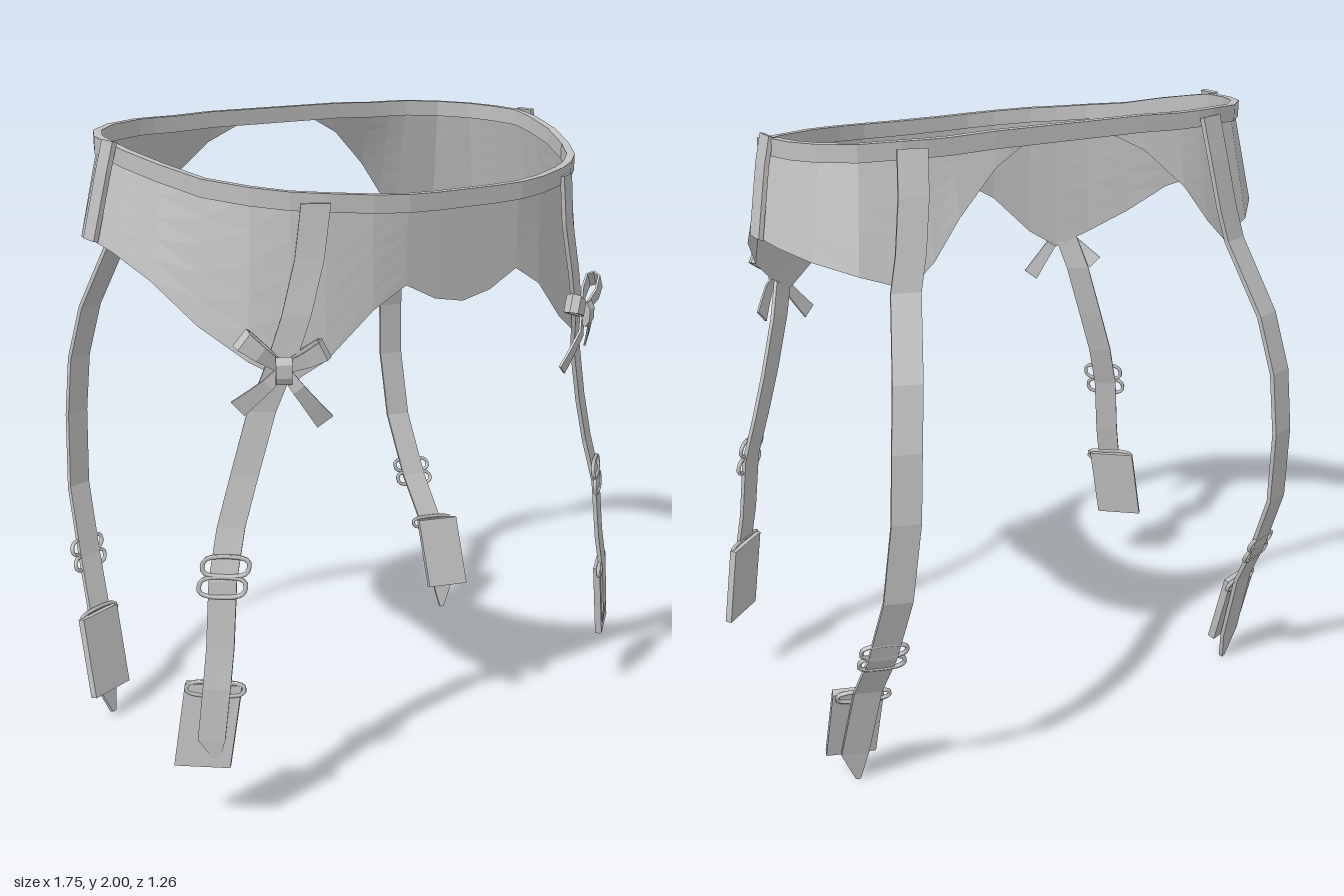
import * as THREE from 'three';

const fabric = new THREE.MeshStandardMaterial({ color: 0xbfbfbf, side: THREE.DoubleSide });
const V = (x, y, z) => new THREE.Vector3(x, y, z);

// Half of the waistline, front centre to back centre: x, z, top y, panel hem y, hem flare
const WAIST = [
  [0, .615, 1.86, 1.54, 0], [.1, .615, 1.86, 1.56, 0], [.2, .612, 1.862, 1.61, 0],
  [.3, .59, 1.867, 1.55, .01], [.42, .54, 1.875, 1.42, .025], [.5, .49, 1.88, 1.36, .04],
  [.58, .42, 1.89, 1.42, .05], [.66, .31, 1.905, 1.51, .055], [.72, .18, 1.935, 1.62, .06],
  [.755, .05, 1.96, 1.68, .065], [.765, -.04, 1.975, 1.70, .065], [.75, -.14, 1.98, 1.69, .065],
  [.71, -.23, 1.985, 1.67, .065], [.63, -.31, 1.99, 1.64, .07], [.52, -.35, 1.995, 1.60, .075],
  [.46, -.36, 1.995, 1.67, .07], [.38, -.365, 1.995, 1.78, .055], [.25, -.37, 2, 1.90, .02],
  [.15, -.37, 2, 1.95, 0], [0, -.37, 2, 1.95, 0],
];

function meshFrom(name, positions, indices) {
  let g = new THREE.BufferGeometry();
  g.setAttribute('position', new THREE.Float32BufferAttribute(positions, 3));
  g.setIndex(indices);
  g = g.toNonIndexed();
  g.computeVertexNormals();
  const m = new THREE.Mesh(g, fabric);
  m.name = name;
  return m;
}

// Sweeps a flat rectangular section along points; across and width may vary along the path
function ribbon(name, pts, across, width, thick, closed = false) {
  const n = pts.length, pos = [], idx = [];
  pts.forEach((p, i) => {
    const a = closed ? pts[(i + n - 1) % n] : pts[Math.max(i - 1, 0)];
    const b = closed ? pts[(i + 1) % n] : pts[Math.min(i + 1, n - 1)];
    const t = b.clone().sub(a).normalize();
    const f = i / (n - 1);
    const w = (Array.isArray(across) ? across[0].clone().lerp(across[1], f) : across.clone()).normalize();
    const nn = t.cross(w).normalize().multiplyScalar(thick / 2);
    w.multiplyScalar((typeof width === 'function' ? width(f, i) : width) / 2);
    for (const [u, v] of [[1, 1], [-1, 1], [-1, -1], [1, -1]])
      pos.push(...p.clone().addScaledVector(w, u).addScaledVector(nn, v).toArray());
  });
  for (let i = 0; i < (closed ? n : n - 1); i++)
    for (let k = 0; k < 4; k++) {
      const j = (i + 1) % n, l = (k + 1) % 4;
      const a = i * 4 + k, b = i * 4 + l, c = j * 4 + l, d = j * 4 + k;
      idx.push(a, b, c, a, c, d);
    }
  if (!closed) {
    const e = (n - 1) * 4;
    idx.push(0, 2, 1, 0, 3, 2, e, e + 1, e + 2, e, e + 2, e + 3);
  }
  return meshFrom(name, pos, idx);
}

// Wire ring round a strap, w across and t along it
function ring(name, c, across, along, w, h) {
  const u = across.clone().normalize(), t = along.clone().normalize();
  const pts = [[-.5, -.25], [-.38, -.5], [.38, -.5], [.5, -.25], [.5, .25], [.38, .5], [-.38, .5], [-.5, .25]]
    .map(([a, b]) => c.clone().addScaledVector(u, a * w).addScaledVector(t, b * h));
  const g = new THREE.TubeGeometry(new THREE.CatmullRomCurve3(pts, true), 28, .007, 5, true);
  const m = new THREE.Mesh(g, fabric);
  m.name = name;
  return m;
}

// Outward direction of the waistline in plan
function outward(i) {
  const a = WAIST[Math.max(i - 1, 0)], b = WAIST[Math.min(i + 1, WAIST.length - 1)];
  return V(-(b[1] - a[1]), 0, b[0] - a[0]).normalize();
}

function panel(s) {
  const rows = 5, cols = WAIST.length - 1, pos = [], idx = [];
  for (let i = 0; i < cols; i++) {
    const [x, z, top, hem, flare] = WAIST[i], o = outward(i);
    for (let r = 0; r <= rows; r++) {
      const f = r / rows, d = flare * f;
      pos.push(s * (x + o.x * d), THREE.MathUtils.lerp(top - .03, hem, f), z + o.z * d);
    }
  }
  for (let i = 0; i < cols - 1; i++)
    for (let r = 0; r < rows; r++) {
      const a = i * (rows + 1) + r, b = a + 1, c = b + rows + 1, d = a + rows + 1;
      if (s > 0) idx.push(a, b, c, a, c, d);
      else idx.push(a, c, b, a, d, c);
    }
  return meshFrom('panel', pos, idx);
}

function bow(s) {
  const g = new THREE.Group();
  g.name = 'bow';
  const c = V(s * .555, 1.41, .535), u = V(s * .88, 0, -.47), n = V(s * .47, 0, .88);
  const at = (a, b, d) => c.clone().addScaledVector(u, a).addScaledVector(n, d).add(V(0, b, 0));
  // folded loops
  for (const [a, b] of [[.115, .09], [-.115, .055]]) {
    const across = u.clone().multiplyScalar(-b).add(V(0, a, 0));
    const pts = [[.08, .004], [.55, .024], [.92, .02], [1, 0], [.92, -.02], [.55, -.02], [.08, -.004]]
      .map(([f, d]) => at(a * f, b * f, d));
    g.add(ribbon('bowLoop', pts, across, f => .03 + .03 * Math.sin(Math.PI * f), .007));
  }
  // hanging tails
  for (const [a, b] of [[.125, -.115], [-.115, -.16]]) {
    const across = u.clone().multiplyScalar(-b).add(V(0, a, 0));
    const pts = [[0, 0], [.35, .012], [.7, -.004], [1, -.02]].map(([f, d]) => at(a * f, b * f, d));
    g.add(ribbon('bowTail', pts, across, f => .028 + .026 * f, .007));
  }
  g.add(ribbon('bowKnot', [at(0, -.03, .005), at(0, -.015, .014), at(0, .015, .014), at(0, .03, .005)], u, .045, .035));
  return g;
}

export function createModel() {
  const model = new THREE.Group();
  model.name = 'garterBelt';

  // waistband
  const half = WAIST.map(([x, z, y]) => V(x, y - .025, z));
  const other = half.slice(1, -1).reverse().map(p => V(-p.x, p.y, p.z));
  model.add(ribbon('waistband', [...half, ...other], V(0, 1, 0), .05, .025, true));

  for (const s of [1, -1]) {
    const side = new THREE.Group();
    side.name = s > 0 ? 'leftSide' : 'rightSide';
    model.add(side);
    const path = list => list.map(([x, y, z]) => V(s * x, y, z));
    side.add(panel(s));

    // side tab over the seam
    side.add(ribbon('sideTab', path([[.775, 1.98, -.015], [.795, 1.9, -.02], [.835, 1.70, -.045]]), V(0, 0, 1), .07, .014));

    // front strap, buckle, clip and bow
    const fw = [V(s * .86, 0, -.5), V(s * .77, 0, -.63)];
    side.add(ribbon('frontStrap', path([[.45, 1.85, .54], [.47, 1.7, .537], [.51, 1.55, .532], [.55, 1.42, .515],
      [.59, 1.28, .475], [.64, 1.1, .46], [.685, .95, .455], [.725, .8, .47], [.745, .6, .48], [.765, .48, .488],
      [.785, .32, .485], [.775, .26, .492]]), fw, (f, i) => i > 10 ? .02 : .08, .013));
    for (const [x, y] of [[.717, .845], [.73, .785]])
      side.add(ring('frontBuckle', V(s * x, y, .475), fw[1], V(s * .2, -1, 0), .13, .05));
    side.add(ribbon('frontClip', path([[.765, .49, .472], [.805, .23, .462]]), fw[1], .165, .022));
    side.add(ring('frontClasp', V(s * .766, .478, .482), fw[1], V(s * .15, -1, 0), .165, .035));
    side.add(bow(s));

    // back strap, buckle and clip
    const bw = [V(s * .95, 0, .3), V(s * .95, 0, .32)];
    side.add(ribbon('backStrap', path([[.50, 1.975, -.375], [.515, 1.85, -.405], [.54, 1.7, -.43], [.565, 1.6, -.445],
      [.59, 1.5, -.495], [.62, 1.38, -.555], [.65, 1.2, -.60], [.665, 1.0, -.615], [.685, .75, -.59],
      [.70, .52, -.5], [.715, .37, -.42], [.735, .11, -.345], [.722, .003, -.33]]),
    bw, (f, i) => i > 11 ? .015 : .085, .014));
    for (const [y, z] of [[.555, -.515], [.505, -.495]])
      side.add(ring('backBuckle', V(s * .70, y, z), bw[1], V(s * .05, -1, .4), .13, .045));
    side.add(ribbon('backClip', path([[.732, .36, -.385], [.735, .1, -.312]]), bw[1], .155, .026));
    side.add(ring('backClasp', V(s * .722, .345, -.4), bw[1], V(0, -1, .3), .155, .035));
  }
  return model;
}
